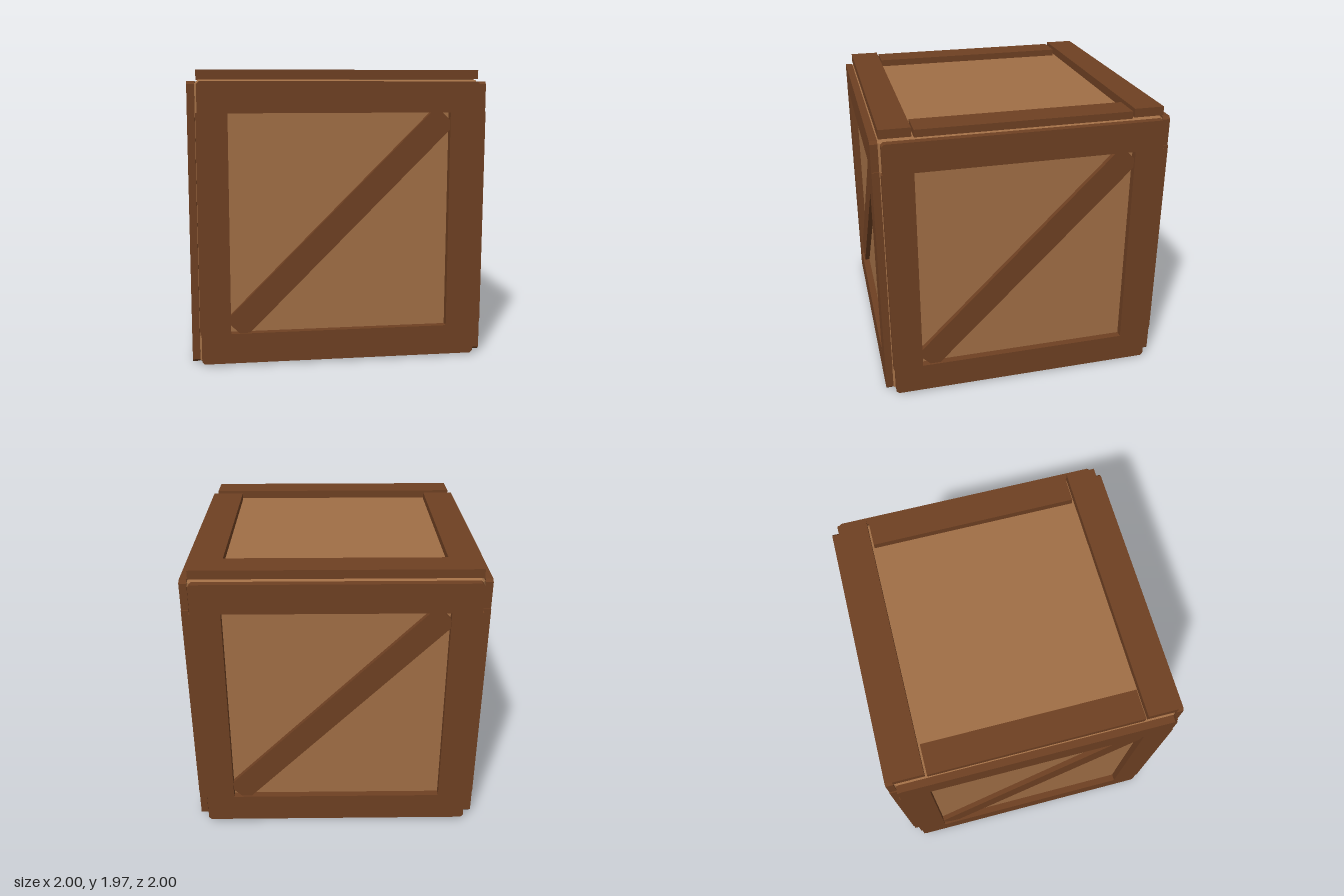
import * as THREE from 'three';
import { ConvexGeometry } from 'three/addons/geometries/ConvexGeometry.js';

export function createModel() {
  const crate = new THREE.Group();
  crate.name = 'crate';
  const panelWood = new THREE.MeshStandardMaterial({ color: 0xa06e45 });
  panelWood.name = 'light panel wood';
  const frameWood = new THREE.MeshStandardMaterial({ color: 0x6e4022 });
  frameWood.name = 'dark frame wood';

  function add(parent, name, geometry, material, x = 0, y = 0, z = 0) {
    const mesh = new THREE.Mesh(geometry, material);
    mesh.name = name;
    mesh.position.set(x, y, z);
    parent.add(mesh);
    return mesh;
  }

  // Inner box with every edge bevelled
  const half = [0.95, 0.953, 0.95];
  const bevel = 0.025;
  const corners = [];
  for (const sx of [-1, 1]) for (const sy of [-1, 1]) for (const sz of [-1, 1]) {
    for (let full = 0; full < 3; full++) {
      const p = [sx, sy, sz].map((s, i) => s * (half[i] - (i === full ? 0 : bevel)));
      corners.push(new THREE.Vector3(...p));
    }
  }
  add(crate, 'innerBox', new ConvexGeometry(corners), panelWood, 0, half[1], 0);

  // Rail whose two outer (upper) corners are clipped; it lies in xy, centred in z
  function railGeometry(halfWidth, height, depth, clip) {
    const w = halfWidth, h = height / 2;
    const shape = new THREE.Shape([
      [-w, -h], [w, -h], [w, h - clip], [w - clip, h], [-w + clip, h], [-w, h - clip],
    ].map(([x, y]) => new THREE.Vector2(x, y)));
    const geometry = new THREE.ExtrudeGeometry(shape, { depth, bevelEnabled: false });
    return geometry.translate(0, 0, -depth / 2);
  }

  // Four identical sides: two rails, two stiles and a diagonal brace
  const thick = 0.05, zMid = 0.975;
  const rail = railGeometry(0.936, 0.205, thick, 0.018);
  const stile = new THREE.BoxGeometry(0.205, 1.475, thick);
  const brace = new THREE.BoxGeometry(2.01, 0.176, 0.038);
  ['front', 'left', 'back', 'right'].forEach((side, i) => {
    const frame = new THREE.Group();
    frame.name = side + 'Frame';
    frame.rotation.y = i * Math.PI / 2;
    add(frame, 'topRail', rail, frameWood, 0, 1.7925, zMid);
    add(frame, 'bottomRail', rail, frameWood, 0, 0.1175, zMid).rotation.z = Math.PI;
    for (const s of [-1, 1]) add(frame, 'stile', stile, frameWood, s * 0.8425, 0.955, zMid);
    add(frame, 'diagonalBrace', brace, frameWood, 0, 0.957, 0.967).rotation.z = Math.PI / 4;
    crate.add(frame);
  });

  // Lid frame: two tall rails and two lower, shorter side boards
  const lid = new THREE.Group();
  lid.name = 'lidFrame';
  const lidRail = new THREE.BoxGeometry(1.88, 0.06, 0.205);
  const lidBoard = new THREE.BoxGeometry(0.205, 0.05, 1.45);
  for (const s of [-1, 1]) {
    add(lid, 'lidRail', lidRail, frameWood, 0, 1.94, s * 0.8425);
    add(lid, 'lidSideBoard', lidBoard, frameWood, s * 0.8425, 1.93, 0);
  }
  crate.add(lid);

  return crate;
}
